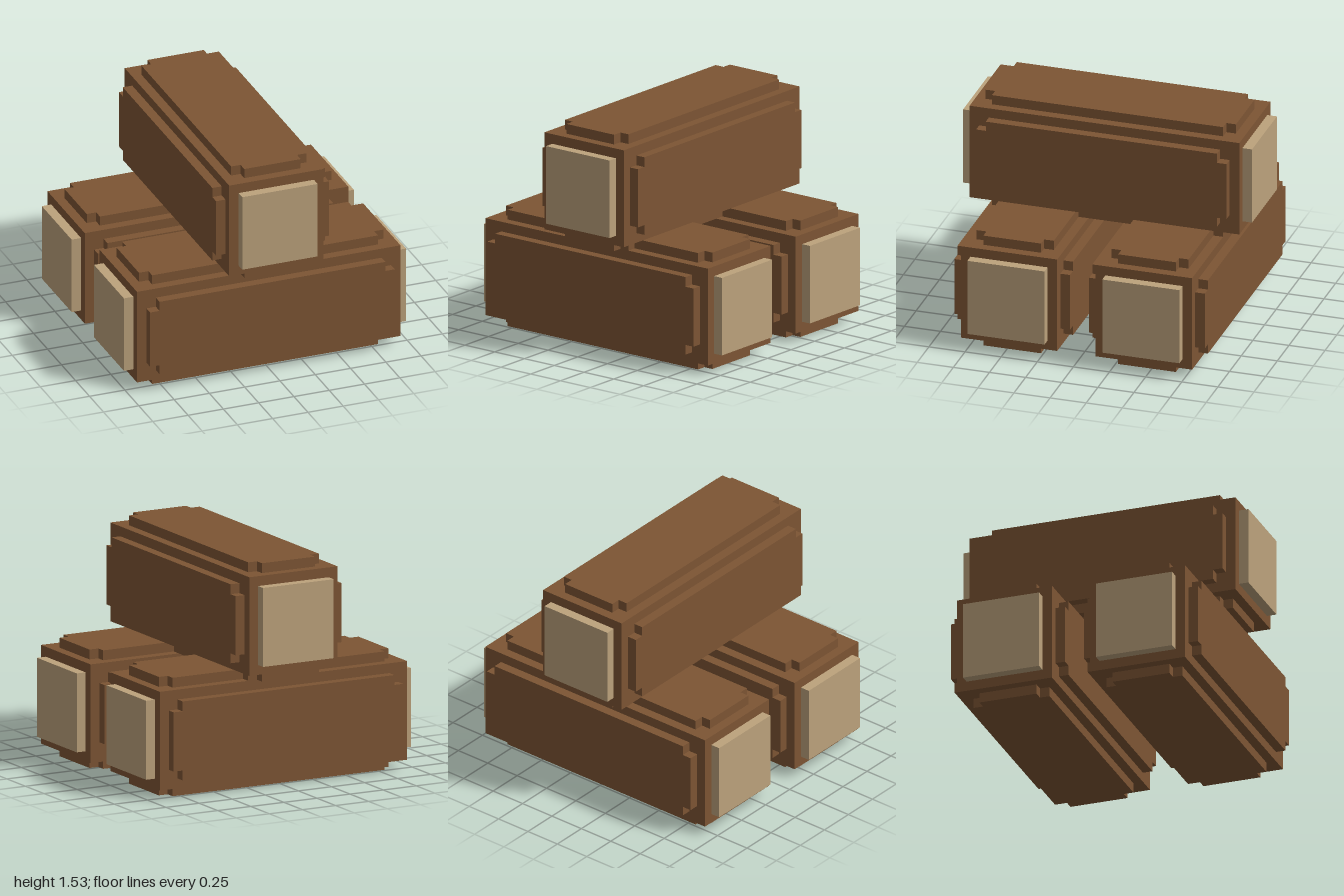
import * as THREE from 'three';

const U = 1 / 15; // one block step

const bark = new THREE.MeshStandardMaterial({ color: 0x7d5534 });
bark.name = 'bark brown';
const cutWood = new THREE.MeshStandardMaterial({ color: 0xbca27c });
cutWood.name = 'cut wood tan';

function addMesh(parent, name, geometry, material) {
  const mesh = new THREE.Mesh(geometry, material);
  mesh.name = name;
  parent.add(mesh);
  return mesh;
}

// Rectangle with one square step cut from each corner
function notchedShape(halfW, halfH, step) {
  const a = halfW - step, b = halfH - step;
  return new THREE.Shape([
    [halfW, -b], [halfW, b], [a, b], [a, halfH], [-a, halfH], [-a, b],
    [-halfW, b], [-halfW, -b], [-a, -b], [-a, -halfH], [a, -halfH], [a, -b],
  ].map(([x, y]) => new THREE.Vector2(x, y)));
}

// One log along x, centred on its own origin
function createLog(name) {
  const log = new THREE.Group();
  log.name = name;
  addMesh(log, 'core', new THREE.BoxGeometry(28 * U, 10 * U, 10 * U), bark);

  // Raised bark slab on each of the four long sides
  const slab = new THREE.ExtrudeGeometry(notchedShape(13 * U, 4 * U, U), { depth: U, bevelEnabled: false });
  slab.translate(0, 0, 5 * U);
  for (let i = 0; i < 4; i++) {
    addMesh(log, 'barkSlab', slab, bark).rotation.x = i * Math.PI / 2;
  }

  // Pale sawn ends
  const end = new THREE.BoxGeometry(U, 8 * U, 8 * U);
  for (const side of [-1, 1]) {
    addMesh(log, 'sawnEnd', end, cutWood).position.x = side * 14.5 * U;
  }
  return log;
}

export function createModel() {
  const model = new THREE.Group();
  model.name = 'logPile';

  // Two logs side by side on the ground
  for (const [name, side] of [['frontLog', 1], ['backLog', -1]]) {
    const log = createLog(name);
    log.position.set(0, 6 * U, side * 7 * U);
    model.add(log);
  }

  // Third log laid across them, sunk one step into their tops
  const topLog = createLog('topLog');
  topLog.rotation.y = Math.PI / 2;
  topLog.position.y = 17 * U;
  model.add(topLog);

  return model;
}
